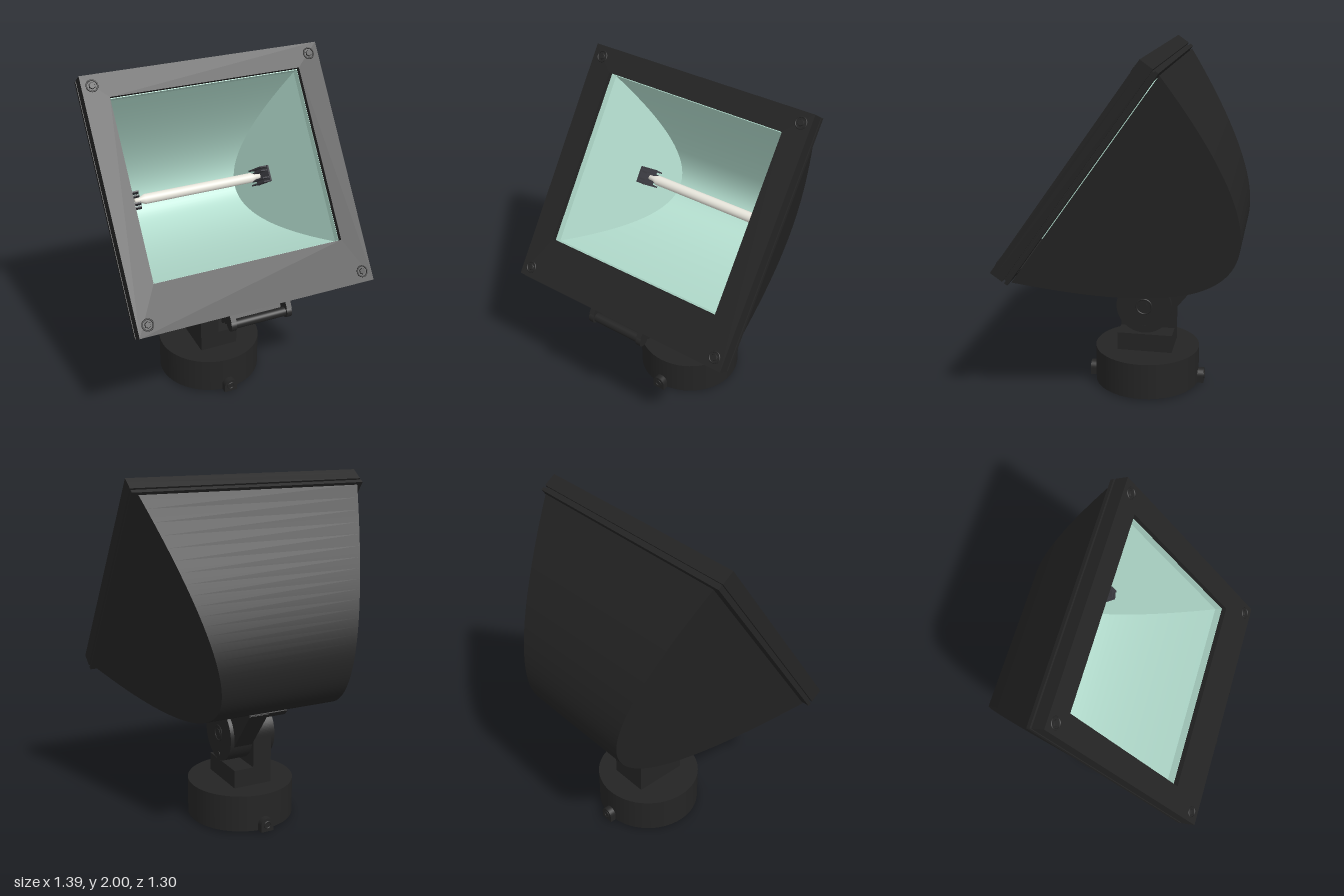
import * as THREE from 'three';

const black = new THREE.MeshStandardMaterial({ name: 'black housing', color: 0x242424, side: THREE.DoubleSide });
const mint = new THREE.MeshStandardMaterial({ name: 'mint reflector', color: 0xb4decf, side: THREE.DoubleSide });
const white = new THREE.MeshStandardMaterial({ name: 'lamp white', color: 0xe8e6dc });
const grey = new THREE.MeshStandardMaterial({ name: 'clip grey', color: 0x3c3c42 });

function add(parent, name, geometry, material, x = 0, y = 0, z = 0) {
  const mesh = new THREE.Mesh(geometry, material);
  mesh.name = name;
  mesh.position.set(x, y, z);
  parent.add(mesh);
  return mesh;
}

const box = (w, h, d) => new THREE.BoxGeometry(w, h, d);
const rod = (r, length, sides = 32) => new THREE.CylinderGeometry(r, r, length, sides).rotateZ(Math.PI / 2);

function rectPath(path, x, y0, y1) {
  path.moveTo(-x, y0);
  path.lineTo(x, y0);
  path.lineTo(x, y1);
  path.lineTo(-x, y1);
  path.closePath();
  return path;
}

// Rectangular frame with a rectangular hole, running from z0 to z1
function ring(x, y0, y1, hx, hy0, hy1, z0, z1) {
  const shape = rectPath(new THREE.Shape(), x, y0, y1);
  shape.holes.push(rectPath(new THREE.Path(), hx, hy0, hy1));
  return new THREE.ExtrudeGeometry(shape, { depth: z1 - z0, bevelEnabled: false }).translate(0, 0, z0);
}

// Side outline (-z, y) extruded across x0..x1
function sidePlate(shape, x0, x1) {
  return new THREE.ExtrudeGeometry(shape, { depth: x1 - x0, bevelEnabled: false, curveSegments: 32 })
    .rotateY(Math.PI / 2).translate(x0, 0, 0);
}

// Parabolic trough closed by two flat cheeks that converge towards the back
function trough(parent, name, material, o) {
  const zAt = y => -o.depth + (y - o.mid) ** 2 / o.k;
  const xAt = z => o.width + o.taper * z;
  const wall = new THREE.PlaneGeometry(2, 2, 1, 48);
  const p = wall.attributes.position;
  for (let i = 0; i < p.count; i++) {
    const y = o.mid + p.getY(i) * o.half, z = zAt(y);
    p.setXYZ(i, o.facing * p.getX(i) * xAt(z), y, z);
  }
  wall.computeVertexNormals();
  add(parent, name + 'Wall', wall, material);

  const outline = [];
  for (let i = 0; i <= 48; i++) {
    const y = o.mid + o.half * (i / 24 - 1);
    outline.push(new THREE.Vector2(y, zAt(y)));
  }
  for (const side of [-1, 1]) {
    const cheek = new THREE.ShapeGeometry(new THREE.Shape(outline));
    const c = cheek.attributes.position;
    for (let i = 0; i < c.count; i++) {
      const y = c.getX(i), z = c.getY(i);
      c.setXYZ(i, side * xAt(z), y, z);
    }
    if (side * o.facing > 0) cheek.index.array.reverse();
    if (o.facing < 0) cheek.index.array.reverse();
    if (side < 0 && o.facing < 0) cheek.index.array.reverse();
    cheek.computeVertexNormals();
    add(parent, name + 'Cheek', cheek, material);
  }
}

function buildHead() {
  const head = new THREE.Group();
  head.name = 'lampHead';
  head.position.set(0, 1.435, 0.25);
  head.rotation.x = -0.615;

  // Door frame, gasket groove and rear rim
  add(head, 'doorFace', ring(0.693, -0.692, 0.692, 0.555, -0.435, 0.56, -0.03, 0), black);
  add(head, 'doorSides', ring(0.693, -0.692, 0.692, 0.66, -0.66, 0.66, -0.08, -0.03), black);
  add(head, 'gasket', ring(0.68, -0.68, 0.68, 0.64, -0.64, 0.64, -0.092, -0.08), black);
  add(head, 'rearRim', ring(0.693, -0.692, 0.692, 0.62, -0.64, 0.64, -0.113, -0.092), black);

  trough(head, 'housing', black, { depth: 1.03, mid: 0, half: 0.68, k: 0.508, width: 0.694, taper: 0.303, facing: -1 });
  trough(head, 'reflector', mint, { depth: 0.83, mid: 0.06, half: 0.497, k: 0.325, width: 0.574, taper: 0.27, facing: 1 });
  add(head, 'reflectorRim', ring(0.58, -0.46, 0.585, 0.554, -0.434, 0.556, -0.075, -0.031), mint);

  // Corner screws
  for (const x of [-0.635, 0.635]) for (const y of [-0.632, 0.632]) {
    add(head, 'screwRing', new THREE.TorusGeometry(0.03, 0.004, 8, 28), black, x, y, 0);
    add(head, 'screwHead', new THREE.CylinderGeometry(0.016, 0.02, 0.008, 6).rotateX(Math.PI / 2), black, x, y, 0.002);
  }

  // Tubular lamp with pinched ends
  const half = [[0, -0.4], [0.014, -0.4], [0.016, -0.37], [0.03, -0.34]];
  const profile = [...half, ...half.slice().reverse().map(([r, h]) => [r, -h])];
  const tube = new THREE.LatheGeometry(profile.map(([r, h]) => new THREE.Vector2(r, h)), 32).rotateZ(Math.PI / 2);
  add(head, 'lampTube', tube, white, 0, 0.06, -0.53);

  // Spring clips holding the lamp ends
  for (const s of [-1, 1]) {
    const clip = new THREE.Group();
    clip.name = 'lampClip';
    clip.position.set(s * 0.422, 0.06, -0.53);
    clip.rotation.y = s * 0.264;
    add(clip, 'clipBase', box(0.012, 0.1, 0.13), grey);
    for (const y of [-0.045, -0.022, 0.022, 0.045]) {
      add(clip, 'clipProng', box(0.05, 0.008, 0.12), grey, -s * 0.028, y, 0);
    }
    head.add(clip);
  }

  // Hinge under the door
  add(head, 'hingePin', rod(0.026, 0.34), black, 0, -0.742, -0.075);
  add(head, 'hingeLeaf', box(0.3, 0.05, 0.04), black, 0, -0.705, -0.125);
  for (const x of [-0.165, 0.165]) {
    add(head, 'hingeKnuckle', rod(0.034, 0.03), black, x, -0.742, -0.07);
    add(head, 'hingeTab', box(0.03, 0.065, 0.1), black, x, -0.7, -0.08);
    add(head, 'hingeFoot', box(0.03, 0.05, 0.06), black, x, -0.7, -0.145);
  }
  return head;
}

function buildMount() {
  const mount = new THREE.Group();
  mount.name = 'mount';
  const pz = -0.08, py = 0.515, r = 0.162;

  // Round base with a foot and two clamp lugs
  add(mount, 'basePlate', new THREE.CylinderGeometry(0.245, 0.245, 0.02, 64), black, 0, 0.01, pz);
  add(mount, 'baseDrum', new THREE.CylinderGeometry(0.31, 0.31, 0.215, 64), black, 0, 0.1175, pz);
  for (const s of [-1, 1]) {
    add(mount, 'lugBody', box(0.08, 0.04, 0.06), black, 0, 0.03, pz + s * 0.315);
    add(mount, 'lugTop', new THREE.CylinderGeometry(0.04, 0.04, 0.06, 28).rotateX(Math.PI / 2), black, 0, 0.05, pz + s * 0.315);
    add(mount, 'lugScrew', new THREE.TorusGeometry(0.02, 0.004, 8, 24), black, 0, 0.05, pz + s * 0.345);
  }

  // Fixed arm rising from the base
  add(mount, 'armBlock', box(0.235, 0.115, 2 * r), black, 0, 0.275, pz);
  const arm = new THREE.Shape();
  arm.moveTo(-pz - r, 0.3);
  arm.lineTo(-pz + r, 0.3);
  arm.lineTo(-pz + r, py);
  arm.absarc(-pz, py, r, 0, Math.PI, false);
  arm.closePath();
  add(mount, 'fixedArm', sidePlate(arm, -0.118, -0.003), black);

  // Tilting bracket fixed to the housing
  const bracket = new THREE.Shape();
  bracket.moveTo(-0.27, 0.76);
  bracket.lineTo(-pz - 0.13, py + 0.095);
  bracket.absarc(-pz, py, r, Math.PI - 0.63, 2 * Math.PI - 0.25, false);
  bracket.lineTo(0.425, 0.715);
  bracket.lineTo(0.35, 0.78);
  bracket.closePath();
  add(mount, 'tiltBracket', sidePlate(bracket, 0.003, 0.118), black);
  const foot = new THREE.Shape([[-0.27, 0.76], [-0.17, 0.69], [0.4, 0.69], [0.425, 0.72], [0.35, 0.78]]
    .map(([x, y]) => new THREE.Vector2(x, y)));
  add(mount, 'bracketFoot', sidePlate(foot, -0.118, 0.118), black);

  // Pivot covers with bolts on both sides
  for (const s of [-1, 1]) {
    add(mount, 'pivotCover', rod(r, 0.024, 64), black, s * 0.129, py, pz);
    add(mount, 'pivotRing', new THREE.TorusGeometry(0.045, 0.005, 8, 32).rotateY(Math.PI / 2), black, s * 0.14, py, pz);
    add(mount, 'pivotBolt', rod(0.028, 0.01, 6), black, s * 0.14, py, pz);
    for (const dy of [-0.13, 0.13]) {
      add(mount, 'coverScrew', rod(0.017, 0.006, 20), black, s * 0.141, py + dy, pz);
    }
  }
  return mount;
}

export function createModel() {
  const model = new THREE.Group();
  model.name = 'floodlight';
  model.add(buildHead(), buildMount());
  return model;
}
